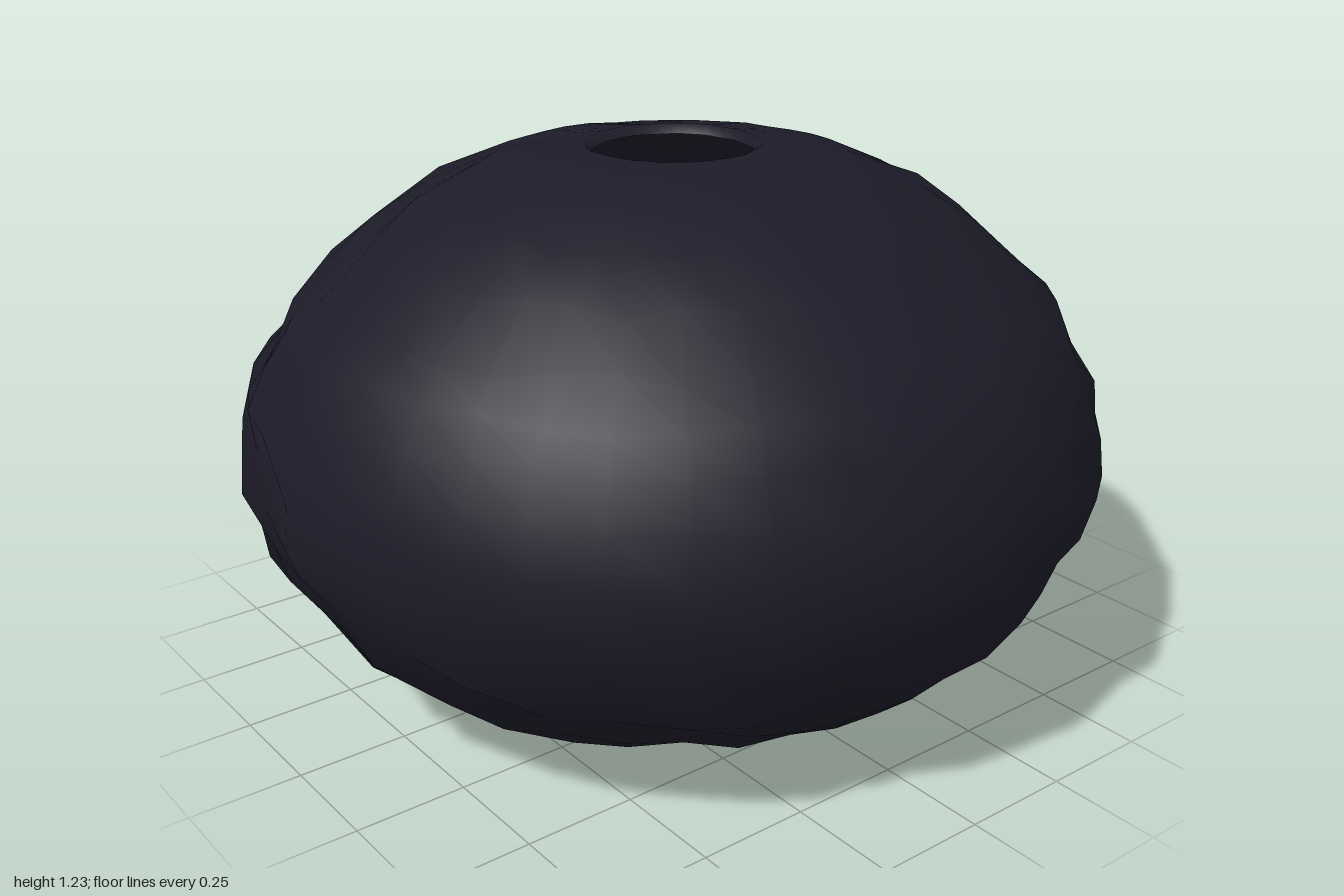
import * as THREE from 'three';

const SEGMENTS = 40;

// Repeatable value in 0..1 for a grid cell
function hash(i, j) {
  const s = Math.sin(i * 127.1 + j * 311.7) * 43758.5453;
  return s - Math.floor(s);
}

export function createModel() {
  const model = new THREE.Group();
  model.name = 'urchinShell';

  // Squashed dome profile, from the bottom pole up to the open rim
  const profile = [
    [0, 0], [0.24, 0.02], [0.49, 0.07], [0.73, 0.13], [0.82, 0.2], [0.9, 0.29],
    [0.95, 0.37], [0.98, 0.46], [0.995, 0.54], [0.99, 0.63], [0.965, 0.72],
    [0.925, 0.81], [0.88, 0.88], [0.81, 0.95], [0.695, 1.05], [0.57, 1.13],
    [0.42, 1.19], [0.3, 1.21], [0.2, 1.227], [0.185, 1.205],
  ].map(([r, y]) => new THREE.Vector2(r, y));
  const geometry = new THREE.LatheGeometry(profile, SEGMENTS);

  // Small irregular bumps; the smooth normals of the dome are kept
  const pos = geometry.attributes.position;
  const rows = profile.length;
  for (let k = 0; k < pos.count; k++) {
    const column = Math.floor(k / rows) % SEGMENTS;
    const row = k % rows;
    const radius = profile[row].x;
    const bump = 1 - 0.05 * hash(column, Math.min(row, rows - 2));
    const lift = radius > 0.5 ? 0.03 * (hash(column + 57, row) - 0.5) : 0;
    pos.setXYZ(k, pos.getX(k) * bump, pos.getY(k) + lift, pos.getZ(k) * bump);
  }

  const material = new THREE.MeshStandardMaterial({ color: 0x1c1b28, side: THREE.DoubleSide });
  const shell = new THREE.Mesh(geometry, material);
  shell.name = 'shell';
  model.add(shell);
  return model;
}
